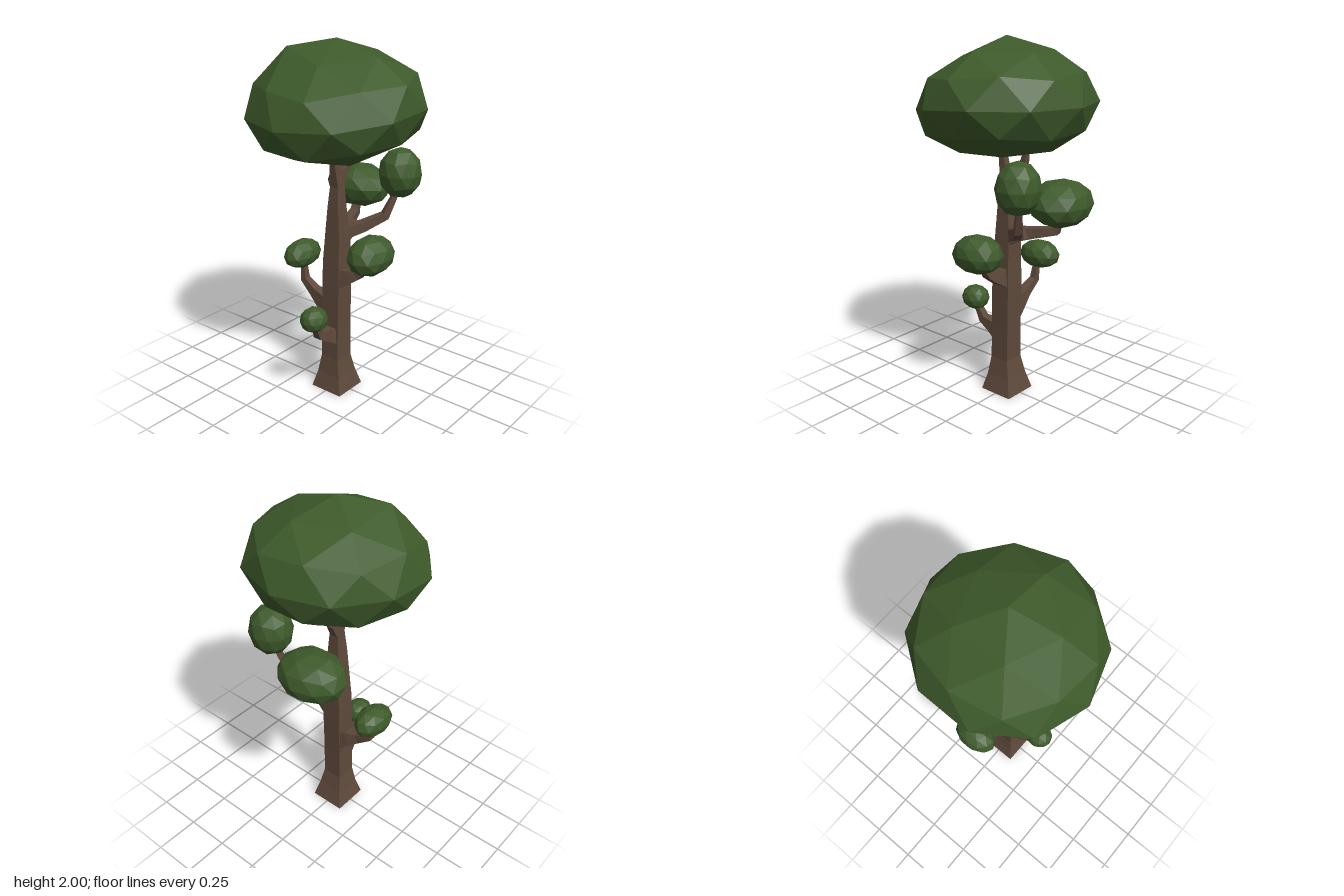
import * as THREE from 'three';

const bark = new THREE.MeshStandardMaterial({ color: 0x5f4a3c, flatShading: true });
const leaf = new THREE.MeshStandardMaterial({ color: 0x3e5a2b, flatShading: true });

// Square-section limb through stations [x, y, z, halfWidth]; side = direction kept across the limb
function limb(name, stations, side) {
  const pts = stations.map(s => new THREE.Vector3(s[0], s[1], s[2]));
  const ref = new THREE.Vector3(...side).normalize();
  const pos = [], index = [], last = pts.length - 1;
  pts.forEach((p, k) => {
    const t = new THREE.Vector3();
    if (k > 0) t.add(p.clone().sub(pts[k - 1]).normalize());
    if (k < last) t.add(pts[k + 1].clone().sub(p).normalize());
    t.normalize();
    if (name === 'trunk' && k === 0) t.set(0, 1, 0);
    const u = ref.clone().addScaledVector(t, -ref.dot(t)).normalize();
    const v = t.clone().cross(u);
    for (const [a, b] of [[1, 1], [-1, 1], [-1, -1], [1, -1]]) {
      const c = p.clone().addScaledVector(u, a * stations[k][3]).addScaledVector(v, b * stations[k][3]);
      pos.push(c.x, c.y, c.z);
    }
  });
  for (let k = 0; k < last; k++) {
    for (let i = 0; i < 4; i++) {
      const a = k * 4 + i, b = k * 4 + (i + 1) % 4;
      index.push(a, b, b + 4, a, b + 4, a + 4);
    }
  }
  const e = last * 4;
  index.push(0, 2, 1, 0, 3, 2, e, e + 1, e + 2, e, e + 2, e + 3);
  const g = new THREE.BufferGeometry();
  g.setAttribute('position', new THREE.Float32BufferAttribute(pos, 3));
  g.setIndex(index);
  g.computeVertexNormals();
  const m = new THREE.Mesh(g, bark);
  m.name = name;
  return m;
}

// Faceted foliage: pole-up icosphere, flattened below, peaked on top, drooping to one side
function foliage(name, centre, radius, { droop = 0, floor = -0.92, peak = 0, dent = 0 } = {}) {
  const g = new THREE.IcosahedronGeometry(1, 1);
  g.rotateX(-Math.atan((1 + Math.sqrt(5)) / 2));
  const p = g.attributes.position;
  for (let i = 0; i < p.count; i++) {
    const x = p.getX(i), z = p.getZ(i);
    let y = p.getY(i);
    if (y > 0.98) y += peak;
    if (y > 0.8 && x < -0.2 && z < -0.3) y += dent;
    y = Math.max(y - droop * Math.max(0, -x), floor);
    p.setXYZ(i, x, y, z);
  }
  g.scale(...radius);
  g.computeVertexNormals();
  const m = new THREE.Mesh(g, leaf);
  m.name = name;
  m.position.set(...centre);
  return m;
}

export function createModel() {
  const tree = new THREE.Group();
  tree.name = 'tree';

  // Trunk with flared foot, and the fork under the crown
  tree.add(
    limb('trunk', [
      [0, 0, 0, 0.102], [-0.003, 0.1, 0, 0.076], [-0.007, 0.2, 0, 0.059], [-0.004, 0.4, 0, 0.057],
      [0, 0.65, 0, 0.058], [0.002, 0.8, 0, 0.055], [0.008, 0.93, 0, 0.05], [0.002, 1.1, 0, 0.037],
      [0.004, 1.22, 0, 0.028], [-0.018, 1.33, 0, 0.02], [-0.04, 1.46, 0, 0.014],
    ], [1, 0, 0]),
    limb('forkBranch', [
      [0.005, 1.2, 0, 0.024], [0.05, 1.29, 0, 0.021], [0.125, 1.36, 0, 0.017], [0.14, 1.46, 0, 0.011],
    ], [0, 0, 1]),
  );

  // Side branches
  tree.add(
    limb('rightBranch', [
      [-0.02, 0.34, 0, 0.055], [-0.09, 0.365, 0, 0.038], [-0.17, 0.395, 0.01, 0.023], [-0.21, 0.48, 0.02, 0.015],
    ], [0, 0, 1]),
    limb('backBranch', [
      [0, 0.48, -0.02, 0.055], [0, 0.53, -0.1, 0.042], [0, 0.555, -0.16, 0.027],
      [0.005, 0.61, -0.24, 0.02], [0.01, 0.72, -0.255, 0.013],
    ], [1, 0, 0]),
    limb('frontBranch', [
      [0, 0.69, 0.02, 0.056], [0, 0.72, 0.09, 0.042], [0, 0.745, 0.15, 0.028], [0, 0.83, 0.215, 0.018],
    ], [1, 0, 0]),
    limb('leftBranchStem', [
      [0.01, 0.92, 0, 0.046], [0.07, 0.95, 0, 0.042], [0.14, 0.97, 0, 0.03],
    ], [0, 0, 1]),
    limb('leftBranchFront', [
      [0.06, 0.945, 0.01, 0.034], [0.13, 0.975, 0.08, 0.028], [0.22, 1.03, 0.165, 0.022], [0.265, 1.17, 0.21, 0.013],
    ], [-0.6, 0, 0.8]),
    limb('leftBranchBack', [
      [0.07, 0.95, -0.005, 0.036], [0.17, 0.97, -0.045, 0.028], [0.275, 0.99, -0.085, 0.023], [0.305, 1.08, -0.09, 0.015],
    ], [0.3, 0, 1]),
  );

  // Foliage: the large crown and one clump per branch
  tree.add(
    foliage('crown', [0, 1.67, 0], [0.485, 0.3, 0.485], { droop: 0.235, floor: -0.9, peak: 0.1, dent: 0.18 }),
    foliage('rightFoliage', [-0.222, 0.515, 0.02], [0.083, 0.072, 0.076]),
    foliage('backFoliage', [0.018, 0.76, -0.27], [0.13, 0.083, 0.087], { droop: 0.1 }),
    foliage('frontFoliage', [0, 0.88, 0.235], [0.153, 0.108, 0.118], { droop: 0.1 }),
    foliage('leftFrontFoliage', [0.27, 1.275, 0.225], [0.12, 0.143, 0.122]),
    foliage('leftBackFoliage', [0.305, 1.145, -0.085], [0.158, 0.128, 0.2], { droop: -0.1 }),
  );
  return tree;
}
